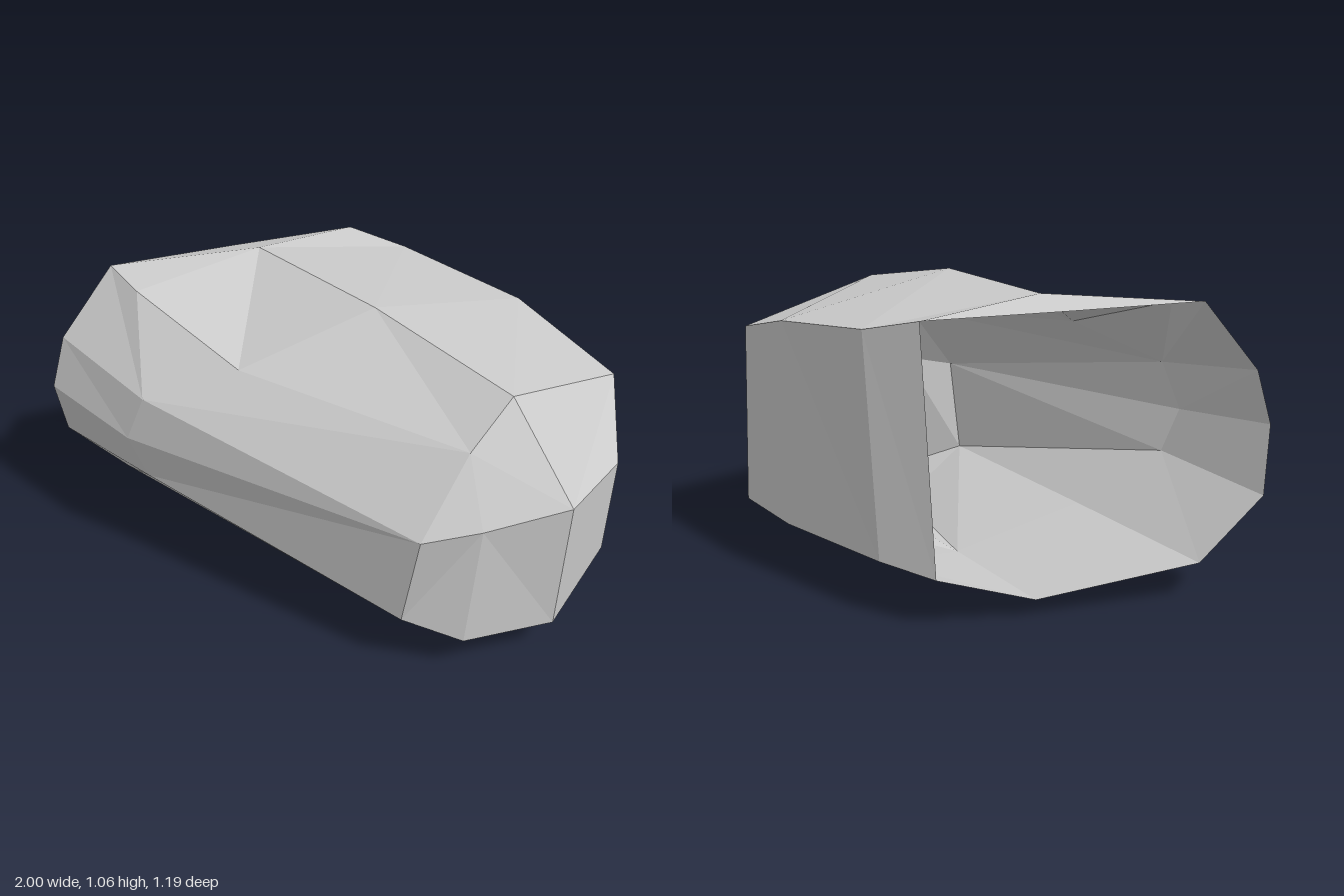
import * as THREE from 'three';

// Faceted boulder-like shell: nine-point cross-sections lofted from the open rim to the closed far end.
// Each section runs: back top, crest, front top, upper front, mid front, lower front, front base, belly, back base.
// A point shared by neighbouring rows or sections collapses that facet to a triangle.
const belly = [0.06, 0, 0.04];
const shoulder = [0.69, 0.83, 0.39];
const frontFoot = [0.56, 0.225, 0.56];
const endTop = [0.985, 0.645, 0.245];
const endBase = [0.94, 0.13, 0.2];

const sections = [
  // open rim
  [[-0.34, 0.99, -0.53], [-0.6, 1.005, -0.12], [-0.84, 1.02, 0.28], [-0.94, 0.78, 0.46], [-0.97, 0.59, 0.51],
    [-1, 0.36, 0.44], [-0.87, 0.13, 0.27], [-0.58, 0.06, -0.24], [-0.43, 0.17, -0.55]],
  // behind the rim
  [[-0.12, 0.945, -0.575], [-0.45, 1.045, -0.09], [-0.66, 0.995, 0.35], [-0.47, 0.73, 0.575], [-0.54, 0.56, 0.595],
    [-0.49, 0.4, 0.56], [-0.23, 0.175, 0.4], belly, [-0.21, 0.19, -0.595]],
  // middle
  [[0.41, 0.905, -0.49], [0.17, 1.06, 0.11], [-0.17, 0.865, 0.42], shoulder, [0.63, 0.575, 0.575],
    frontFoot, frontFoot, belly, [0.34, 0.18, -0.54]],
  // shoulder of the far end
  [[0.86, 0.815, -0.32], [0.75, 0.975, 0.24], shoulder, shoulder, [0.78, 0.6, 0.45],
    [0.74, 0.145, 0.46], [0.61, 0.035, 0.28], belly, [0.81, 0.14, -0.375]],
  // far end
  [[1, 0.645, -0.07], endTop, endTop, endTop, endTop, endBase, endBase, endBase, [0.97, 0.26, -0.105]],
];

// Facets (section-row) split along the other diagonal
const flipped = new Set(['0-1', '0-5', '1-2', '1-4', '2-4']);

function facetedGeometry(triangles) {
  const geometry = new THREE.BufferGeometry();
  geometry.setAttribute('position', new THREE.Float32BufferAttribute(triangles.flat(2), 3));
  geometry.computeVertexNormals();
  return geometry;
}

export function createModel() {
  const group = new THREE.Group();
  group.name = 'rockShell';
  const material = new THREE.MeshStandardMaterial({ color: 0xcccccc, flatShading: true, side: THREE.DoubleSide });

  // Wall facets between neighbouring sections
  const wall = [];
  const add = (a, b, c) => {
    if (a !== b && b !== c && c !== a) wall.push([a, b, c]);
  };
  for (let s = 0; s < sections.length - 1; s++) {
    for (let k = 0; k < 9; k++) {
      const n = (k + 1) % 9;
      const a = sections[s][k], b = sections[s][n];
      const c = sections[s + 1][n], d = sections[s + 1][k];
      if (flipped.has(`${s}-${k}`)) {
        add(a, b, d);
        add(b, c, d);
      } else {
        add(a, b, c);
        add(a, c, d);
      }
    }
  }
  const shell = new THREE.Mesh(facetedGeometry(wall), material);
  shell.name = 'shellWall';

  // Closing panel of the far end
  const end = sections[4];
  const cap = new THREE.Mesh(facetedGeometry([[end[0], endTop, endBase], [end[0], endBase, end[8]]]), material);
  cap.name = 'endPanel';

  group.add(shell, cap);
  return group;
}
